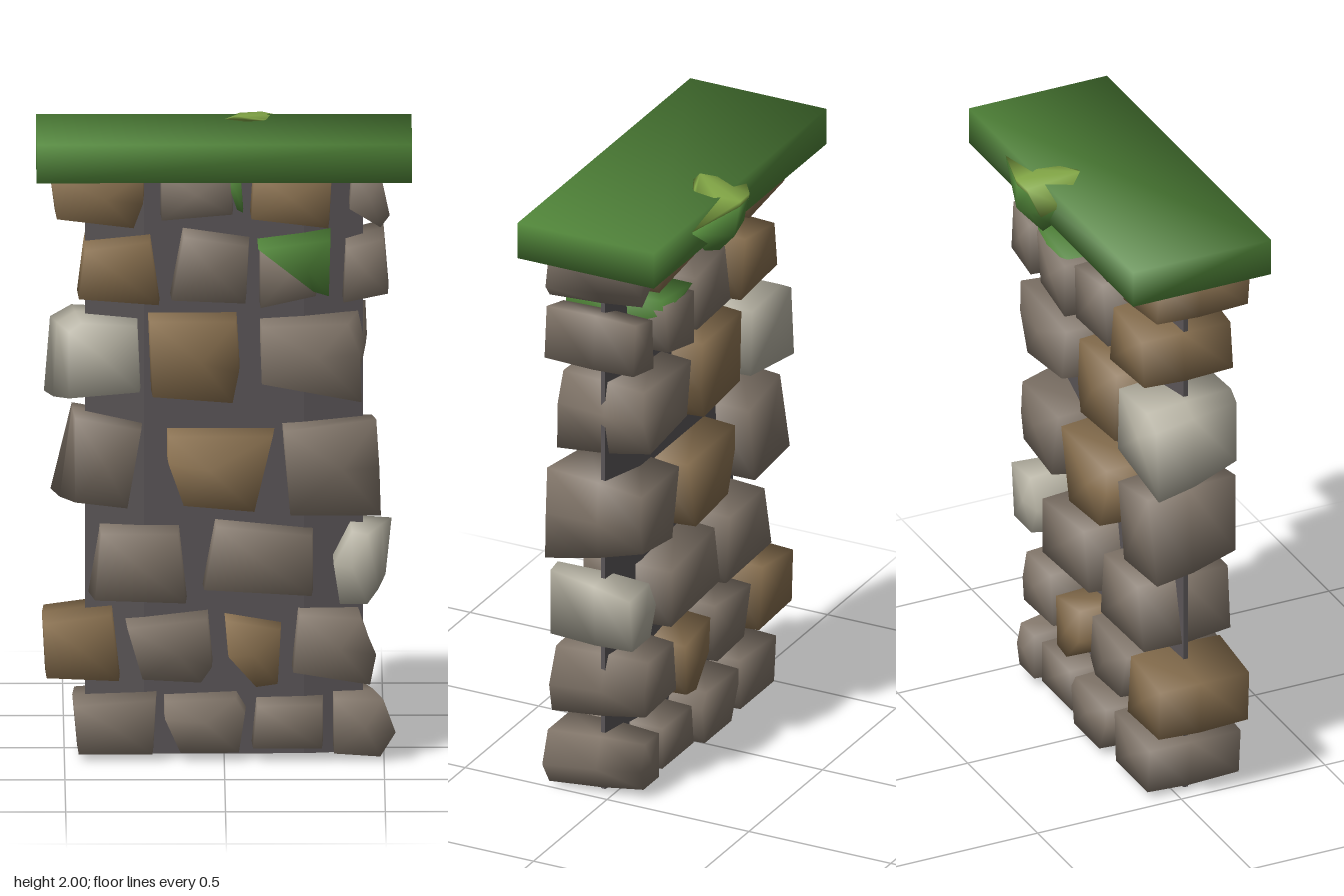
import * as THREE from 'three';
import { mergeVertices } from 'three/addons/utils/BufferGeometryUtils.js';
import { ConvexGeometry } from 'three/addons/geometries/ConvexGeometry.js';

const paint = (name, color) => Object.assign(new THREE.MeshStandardMaterial({ color }), { name });

// Welds corners so that normals run smoothly round the whole block.
function weld(geometry) {
  geometry.deleteAttribute('normal');
  geometry.deleteAttribute('uv');
  const welded = mergeVertices(geometry, 0.0005);
  welded.computeVertexNormals();
  return welded;
}

// Points every normal away from the middle, so flat faces shade as soft cushions.
function cushion(geometry) {
  geometry.computeBoundingBox();
  const centre = geometry.boundingBox.getCenter(new THREE.Vector3());
  const size = geometry.boundingBox.getSize(new THREE.Vector3());
  const { position, normal } = geometry.attributes;
  const v = new THREE.Vector3();
  for (let i = 0; i < position.count; i++) {
    v.fromBufferAttribute(position, i).sub(centre).divide(size).normalize();
    normal.setXYZ(i, v.x, v.y, v.z);
  }
  return geometry;
}

// Rough block: clockwise front outline [x, y, x, y, ...] lofted to a back outline.
function blockGeometry(front, zBack, zFront, back = front) {
  const n = front.length / 2;
  const rings = [[0, 0.95], [0.45, 1], [1, 0.96]];
  const positions = [], index = [], caps = [];
  for (const [t, scale] of rings) {
    const outline = front.map((value, i) => THREE.MathUtils.lerp(back[i], value, t));
    let cx = 0, cy = 0;
    for (let i = 0; i < n; i++) { cx += outline[2 * i] / n; cy += outline[2 * i + 1] / n; }
    for (let i = 0; i < n; i++) {
      positions.push(cx + (outline[2 * i] - cx) * scale, cy + (outline[2 * i + 1] - cy) * scale,
        zBack + (zFront - zBack) * t);
    }
    caps.push([cx, cy]);
  }
  const last = (rings.length - 1) * n, backCap = rings.length * n, frontCap = backCap + 1;
  positions.push(...caps[0], zBack - 0.008, ...caps[rings.length - 1], zFront + 0.004);
  for (let i = 0; i < n; i++) {
    const j = (i + 1) % n;
    for (let k = 0; k < last; k += n) {
      index.push(k + n + i, k + n + j, k + j, k + n + i, k + j, k + i);
    }
    index.push(backCap, i, j, frontCap, last + j, last + i);
  }
  const geometry = new THREE.BufferGeometry();
  geometry.setAttribute('position', new THREE.Float32BufferAttribute(positions, 3));
  geometry.setIndex(index);
  geometry.computeVertexNormals();
  return cushion(geometry);
}

export function createModel() {
  const model = new THREE.Group();
  model.name = 'stoneWall';
  const grey = paint('greyStone', 0x83776b);
  const brown = paint('brownStone', 0x8a7150);
  const pale = paint('paleStone', 0xb5b1a2);
  const mortar = paint('mortar', 0x5a5557);
  const moss = paint('moss', 0x52873a);
  const lightMoss = paint('lightMoss', 0x82a646);

  const add = (name, geometry, material, parent = model) => {
    const mesh = new THREE.Mesh(geometry, material);
    mesh.name = name;
    parent.add(mesh);
    return mesh;
  };

  // Mortar core behind the stones: a slab thinning to narrow side edges
  const plan = new THREE.Shape([[-0.435, -0.055], [-0.25, -0.09], [0.25, -0.09], [0.435, -0.055],
    [0.435, -0.04], [0.25, -0.01], [-0.25, -0.01], [-0.435, -0.04]].map((p) => new THREE.Vector2(...p)));
  add('mortarCore', new THREE.ExtrudeGeometry(plan, { depth: 1.86, bevelEnabled: false }).rotateX(-Math.PI / 2), mortar);

  // Courses of stones, bottom to top; each stone is [material, front outline, back outline]
  let count = 0, course = 0;
  function stoneCourse(...stones) {
    const group = new THREE.Group();
    group.name = 'stoneCourse' + ++course;
    for (const [material, front, back] of stones) {
      const wobble = 0.014 * Math.sin(++count * 2.4);
      add('stone' + count, blockGeometry(front, -0.1 + wobble * 0.6, 0.212 + wobble, back), material, group);
    }
    model.add(group);
  }

  stoneCourse(
    [grey, [-0.475, 0.18, -0.21, 0.2, -0.22, 0.02, -0.46, 0.02]],
    [grey, [-0.19, 0.19, 0.04, 0.2, 0.07, 0.15, 0.05, 0.02, -0.14, 0.02, -0.19, 0.13]],
    [grey, [0.1, 0.18, 0.31, 0.185, 0.31, 0.04, 0.085, 0.04]],
    [grey, [0.34, 0.2, 0.5, 0.2, 0.54, 0.09, 0.49, 0.01, 0.34, 0.02],
      [0.34, 0.19, 0.44, 0.19, 0.47, 0.1, 0.45, 0.03, 0.34, 0.03]]);
  stoneCourse(
    [brown, [-0.57, 0.44, -0.35, 0.47, -0.325, 0.25, -0.56, 0.26]],
    [grey, [-0.31, 0.43, -0.05, 0.46, -0.035, 0.3, -0.07, 0.25, -0.26, 0.26]],
    [brown, [0, 0.45, 0.18, 0.42, 0.17, 0.24, 0.1, 0.23, 0.01, 0.33]],
    [grey, [0.23, 0.47, 0.43, 0.46, 0.48, 0.34, 0.46, 0.24, 0.21, 0.28],
      [0.23, 0.46, 0.41, 0.46, 0.44, 0.35, 0.43, 0.27, 0.21, 0.28]]);
  stoneCourse(
    [grey, [-0.39, 0.73, -0.14, 0.73, -0.115, 0.5, -0.41, 0.51],
      [-0.39, 0.73, -0.14, 0.73, -0.115, 0.5, -0.44, 0.51]],
    [grey, [-0.03, 0.75, 0.28, 0.72, 0.28, 0.52, -0.07, 0.54]],
    [pale, [0.4, 0.74, 0.45, 0.73, 0.45, 0.5, 0.36, 0.5, 0.34, 0.63],
      [0.39, 0.73, 0.53, 0.72, 0.51, 0.53, 0.38, 0.53, 0.34, 0.63]]);
  stoneCourse(
    [grey, [-0.47, 1.1, -0.255, 1.06, -0.3, 0.8, -0.47, 0.82],
      [-0.48, 1.09, -0.255, 1.05, -0.3, 0.78, -0.55, 0.8]],
    [brown, [-0.18, 1.04, 0.16, 1.04, 0.1, 0.79, -0.13, 0.81, -0.18, 0.95]],
    [grey, [0.18, 1.06, 0.48, 1.1, 0.49, 0.94, 0.495, 0.78, 0.2, 0.78],
      [0.18, 1.05, 0.45, 1.05, 0.46, 0.93, 0.44, 0.84, 0.23, 0.81]]);
  stoneCourse(
    [pale, [-0.49, 1.37, -0.45, 1.4, -0.27, 1.39, -0.26, 1.17, -0.49, 1.15],
      [-0.55, 1.36, -0.48, 1.4, -0.27, 1.39, -0.26, 1.16, -0.57, 1.11]],
    [brown, [-0.24, 1.41, 0.04, 1.41, 0.05, 1.24, 0.03, 1.14, -0.23, 1.16]],
    [grey, [0.11, 1.39, 0.39, 1.4, 0.43, 1.3, 0.435, 1.14, 0.11, 1.2],
      [0.11, 1.39, 0.45, 1.415, 0.455, 1.3, 0.4, 1.17, 0.14, 1.2]]);
  stoneCourse(
    [brown, [-0.44, 1.63, -0.23, 1.66, -0.2, 1.45, -0.46, 1.47]],
    [grey, [-0.13, 1.68, 0.08, 1.65, 0.07, 1.46, -0.17, 1.47]],
    [grey, [0.11, 1.63, 0.32, 1.66, 0.29, 1.48, 0.11, 1.44]],
    [grey, [0.38, 1.64, 0.5, 1.67, 0.515, 1.49, 0.37, 1.46]]);
  stoneCourse(
    [brown, [-0.55, 1.88, -0.25, 1.88, -0.25, 1.78, -0.28, 1.7, -0.53, 1.73]],
    [grey, [-0.2, 1.88, 0.02, 1.88, 0.03, 1.74, -0.2, 1.72]],
    [brown, [0.09, 1.88, 0.34, 1.88, 0.33, 1.7, 0.08, 1.73]],
    [grey, [0.4, 1.88, 0.49, 1.88, 0.52, 1.74, 0.49, 1.7, 0.39, 1.76],
      [0.4, 1.88, 0.45, 1.88, 0.47, 1.75, 0.46, 1.71, 0.39, 1.76]]);

  // Mossy coping slab
  const slab = add('mossCoping', cushion(weld(new THREE.BoxGeometry(1.175, 0.122, 0.48))), moss);
  slab.position.set(0, 1.919, 0.03);

  // Moss over the top and one front corner of a stone, and a drip below the coping
  add('stoneMoss', blockGeometry([0.1, 1.64, 0.335, 1.67, 0.33, 1.485, 0.28, 1.5], -0.1, 0.232,
    [0.105, 1.65, 0.33, 1.68, 0.31, 1.62, 0.2, 1.62]), moss);
  add('mossDrip', blockGeometry([0, 1.87, 0.05, 1.87, 0.06, 1.74, 0.04, 1.75], 0.02, 0.17), moss);

  // Clump hanging over the rear edge of the coping, with a lighter crown
  const hull = (points) => weld(new ConvexGeometry(points.map((p) => new THREE.Vector3(...p))));
  const rim = [[-0.06, 1.95, -0.2], [0.05, 1.955, -0.265], [0.12, 1.955, -0.27], [0.34, 1.94, -0.205]];
  add('mossClump', hull([...rim, [0.1, 1.78, -0.19], [0.2, 1.82, -0.19], [0.01, 1.85, -0.2],
    [0.06, 1.88, -0.255], [0.14, 1.86, -0.262], [0.05, 1.88, -0.1]]), moss);
  add('mossClumpCrown', hull([...rim, [0.05, 1.972, -0.27], [0.12, 1.975, -0.274], [0.02, 1.88, -0.235],
    [0.015, 1.983, -0.12], [0.04, 1.998, -0.09], [0.07, 1.988, -0.082], [0.115, 1.983, -0.11],
    [0.135, 1.982, -0.19]]), lightMoss);

  return model;
}
